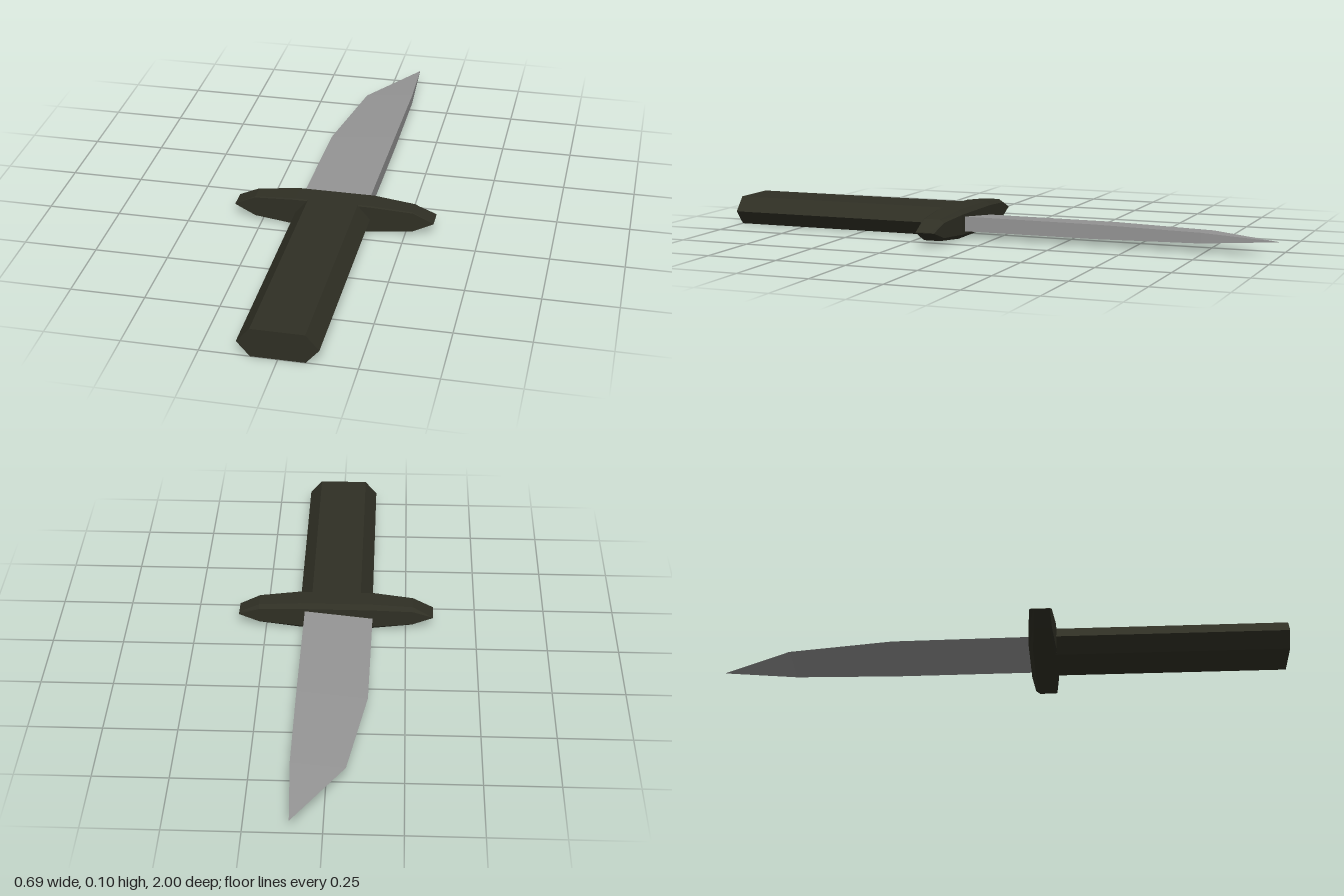
import * as THREE from 'three';

const MID = 0.05; // height of the knife's centre plane

// Skin a list of equal-length rings; each ring runs counter-clockwise seen from the last ring's end
function loft(rings) {
  const pos = [];
  const tri = (a, b, c) => pos.push(...a, ...b, ...c);
  const n = rings[0].length;
  for (let r = 0; r < rings.length - 1; r++) {
    const a = rings[r], b = rings[r + 1];
    for (let i = 0; i < n; i++) {
      const j = (i + 1) % n;
      tri(a[i], a[j], b[j]);
      tri(a[i], b[j], b[i]);
    }
  }
  const first = rings[0], last = rings[rings.length - 1];
  for (let i = 1; i < n - 1; i++) {
    tri(first[0], first[i + 1], first[i]);
    tri(last[0], last[i], last[i + 1]);
  }
  const g = new THREE.BufferGeometry();
  g.setAttribute('position', new THREE.Float32BufferAttribute(pos, 3));
  g.computeVertexNormals();
  return g;
}

export function createModel() {
  const group = new THREE.Group();
  const darkOlive = new THREE.MeshStandardMaterial({ name: 'darkOlive', color: 0x2f2f24 });
  const steel = new THREE.MeshStandardMaterial({ name: 'steel', color: 0x959595 });
  const add = (name, geometry, material) => {
    const mesh = new THREE.Mesh(geometry, material);
    mesh.name = name;
    group.add(mesh);
  };

  // Handle: flattened hexagonal bar
  const hex = (z) => [
    [0.13, MID, z], [0.087, 0.1, z], [-0.087, 0.1, z],
    [-0.13, MID, z], [-0.087, 0, z], [0.087, 0, z],
  ];
  add('handle', loft([hex(0.15), hex(1)]), darkOlive);

  // Guard: chamfered crossbar tapering to an edge at both ends
  // [x, half height, back z, front z]
  const half = [[0.13, 0.05, 0.105, 0.2], [0.275, 0.037, 0.113, 0.19], [0.347, 0.001, 0.118, 0.186]];
  const stations = [...half.map(([x, ...s]) => [-x, ...s]).reverse(), ...half];
  add('guard', loft(stations.map(([x, h, zb, zf]) => [
    [x, MID + h, zb + 0.015], [x, MID + h, zf - 0.006],
    [x, MID + h * 0.95, zf], [x, MID - h * 0.95, zf],
    [x, MID - h, zf - 0.006], [x, MID - h, zb + 0.015],
    [x, MID - h * 0.7, zb], [x, MID + h * 0.7, zb],
  ])), darkOlive);

  // Blade: wedge with a thick spine on +x and a cutting edge on -x
  // [z, spine x, edge x, half thickness of spine]
  const blade = [
    [-1, 0.103, 0.102, 0.0005],
    [-0.74, 0.115, -0.063, 0.018],
    [-0.37, 0.114, -0.125, 0.025],
    [0.15, 0.11, -0.132, 0.026],
  ];
  add('blade', loft(blade.map(([z, xs, xe, h]) => [
    [xs, MID - h, z], [xs, MID + h, z], [xe, MID, z],
  ])), steel);

  return group;
}
